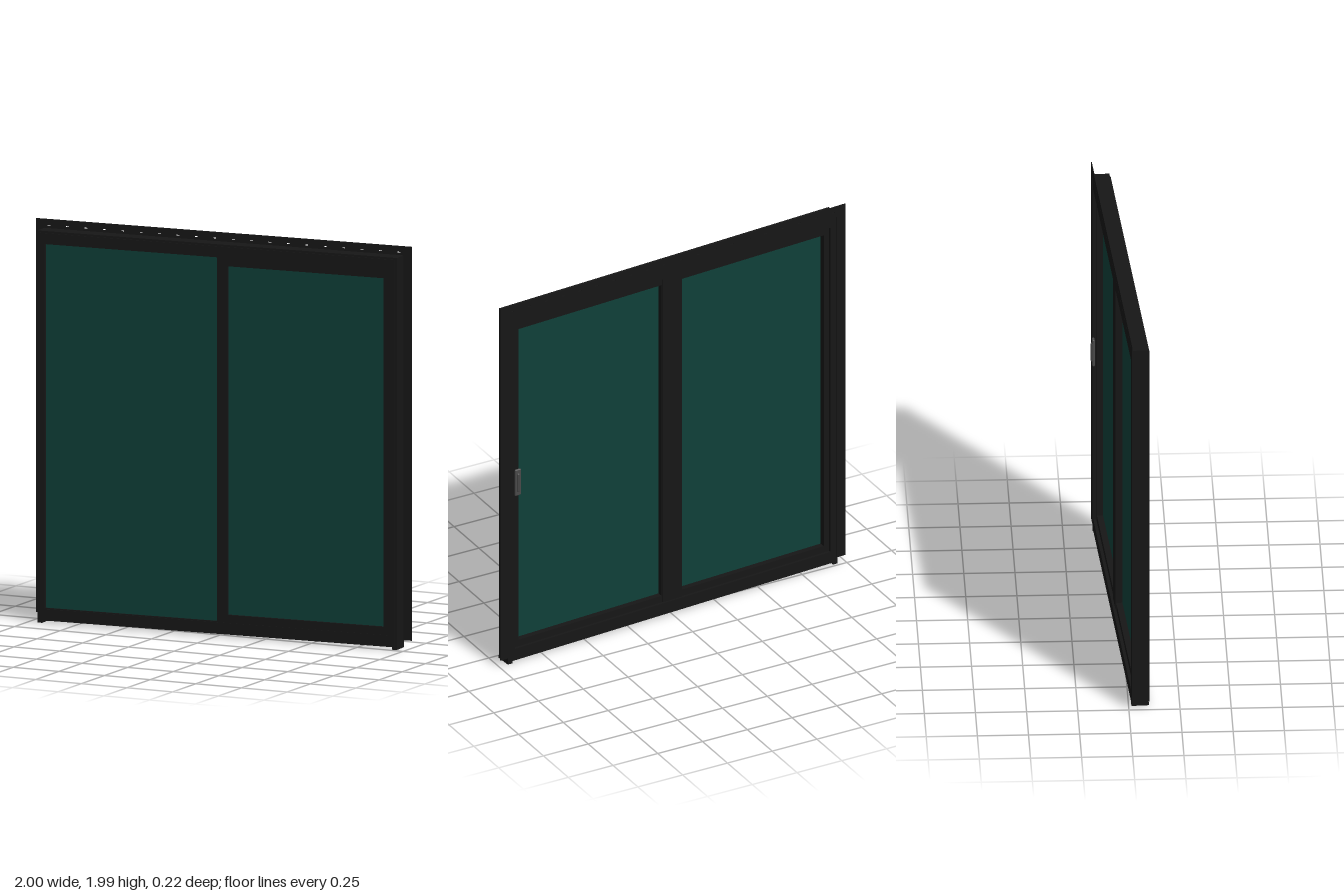
import * as THREE from 'three';
import { RoundedBoxGeometry } from 'three/addons/geometries/RoundedBoxGeometry.js';

const frameMat = new THREE.MeshStandardMaterial({ color: 0x161616 });
const glassMat = new THREE.MeshStandardMaterial({ color: 0x0f3f38 });
const handleMat = new THREE.MeshStandardMaterial({ color: 0x4a4a4a });

export function createModel() {
  const windowUnit = new THREE.Group();
  windowUnit.name = 'slidingWindow';

  function add(name, geometry, material) {
    const mesh = new THREE.Mesh(geometry, material);
    mesh.name = name;
    windowUnit.add(mesh);
    return mesh;
  }

  // Box given by its limits on each axis
  function box(name, [x0, x1], [y0, y1], [z0, z1], material = frameMat) {
    const mesh = add(name, new THREE.BoxGeometry(x1 - x0, y1 - y0, z1 - z0), material);
    mesh.position.set((x0 + x1) / 2, (y0 + y1) / 2, (z0 + z1) / 2);
  }

  function rect(path, x0, x1, y0, y1) {
    path.moveTo(x0, y0);
    path.lineTo(x1, y0);
    path.lineTo(x1, y1);
    path.lineTo(x0, y1);
    path.closePath();
    return path;
  }

  // Rectangular frame with an opening
  function ring(name, outer, inner, z0, z1) {
    const shape = rect(new THREE.Shape(), ...outer);
    shape.holes.push(rect(new THREE.Path(), ...inner));
    const geo = new THREE.ExtrudeGeometry(shape, { depth: z1 - z0, bevelEnabled: false });
    geo.translate(0, 0, z0);
    add(name, geo, frameMat);
  }

  // Outer frame: deep body and a slightly taller front lip
  ring('outerFrame', [-0.956, 0.956, 0.012, 1.945], [-0.915, 0.915, 0.075, 1.88], -0.045, 0.038);
  ring('frontLip', [-0.945, 0.945, 0.015, 1.935], [-0.92, 0.92, 0.07, 1.885], 0.038, 0.043);

  // Jamb ends that stand on the ground
  for (const s of [-1, 1]) {
    box('jambFoot', [s * 0.943 - 0.013, s * 0.943 + 0.013], [0, 0.014], [-0.045, 0.04]);
  }

  // Thin nailing flange round the head and both jambs, slotted along the head
  const flange = new THREE.Shape([
    [-1, 0.035], [-0.95, 0.035], [-0.95, 1.93], [0.95, 1.93],
    [0.95, 0.035], [1, 0.035], [1, 1.99], [-1, 1.99],
  ].map(([x, y]) => new THREE.Vector2(x, y)));
  for (let i = 0; i < 20; i++) {
    const x = -0.93 + i * 1.86 / 19;
    flange.holes.push(rect(new THREE.Path(), x - 0.008, x + 0.008, 1.957, 1.961));
  }
  const flangeGeo = new THREE.ExtrudeGeometry(flange, { depth: 0.003, bevelEnabled: false });
  flangeGeo.translate(0, 0, -0.0465);
  add('nailingFlange', flangeGeo, frameMat);

  // Sliding sash on the left half, fixed pane backed by a matching frame on the right
  ring('slidingSash', [0, 0.93, 0.05, 1.9], [0.055, 0.885, 0.11, 1.84], -0.03, 0.04);
  ring('fixedPaneFrame', [-0.93, 0, 0.05, 1.9], [-0.885, -0.055, 0.11, 1.84], -0.03, 0.012);
  box('meetingStile', [-0.06, 0.05], [0.06, 1.89], [-0.034, 0.008]);

  // Glazing
  box('slidingGlass', [0.05, 0.89], [0.1, 1.85], [0, 0.027], glassMat);
  box('fixedGlass', [-0.917, -0.003], [0.073, 1.882], [0, 0.03], glassMat);

  // Pull handle on the inside of the sash: plate and grip
  const plate = add('handlePlate', new RoundedBoxGeometry(0.034, 0.145, 0.012, 3, 0.005), handleMat);
  plate.position.set(0.9, 1.0, -0.046);
  const grip = add('handleGrip', new THREE.CapsuleGeometry(0.007, 0.09, 4, 12), handleMat);
  grip.position.set(0.9, 1.0, -0.052);

  // The unit stands slightly turned
  windowUnit.rotation.y = 0.0625;
  const model = new THREE.Group();
  model.name = 'window';
  model.add(windowUnit);
  return model;
}
